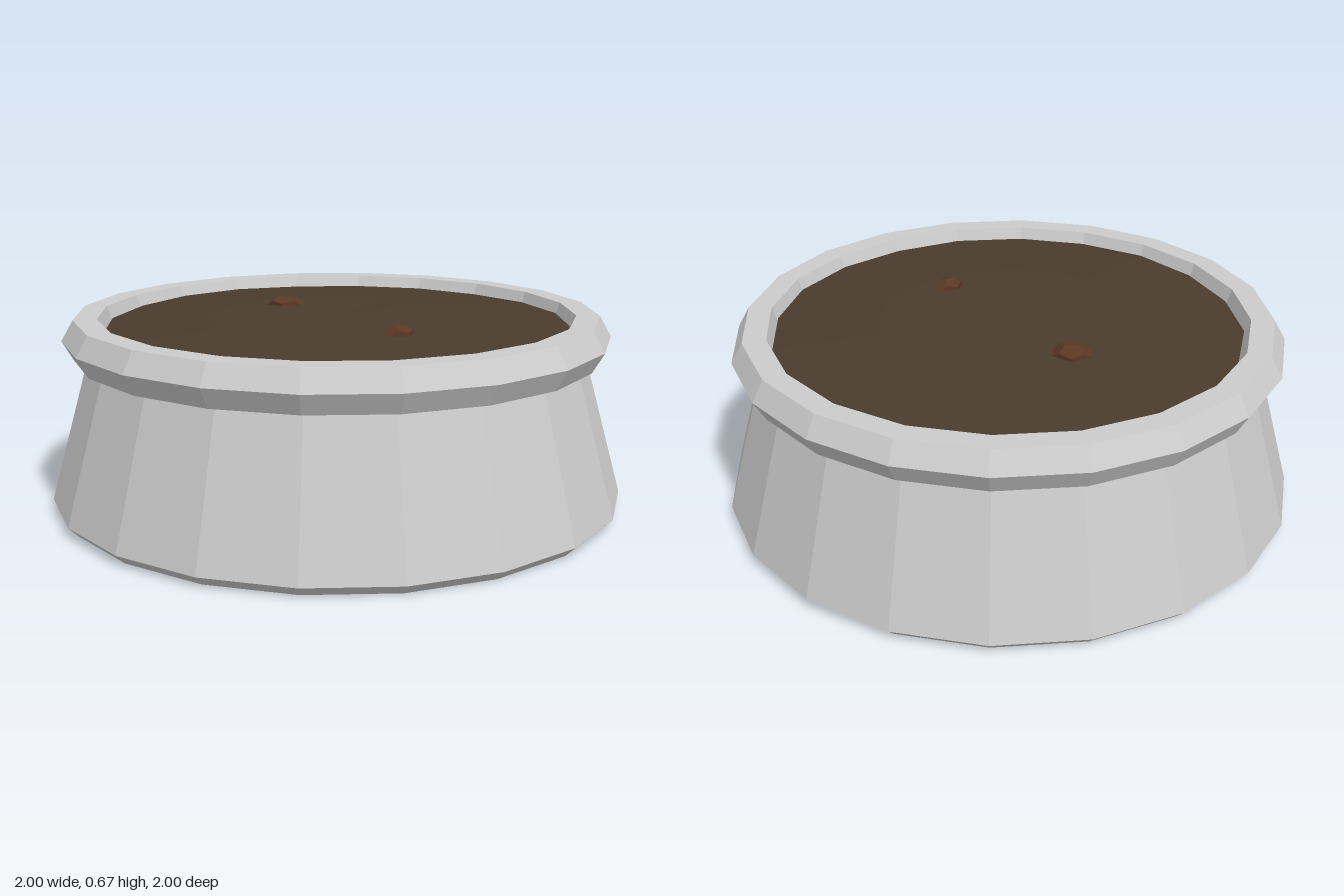
import * as THREE from 'three';

const SIDES = 20;

function material(color) {
  return new THREE.MeshStandardMaterial({ color, flatShading: true });
}

// Faceted turned part; the profile runs from the bottom, up the outside, then inwards
function turned(name, profile, mat) {
  const points = profile.map(([r, y]) => new THREE.Vector2(r, y));
  const mesh = new THREE.Mesh(new THREE.LatheGeometry(points, SIDES), mat);
  mesh.name = name;
  return mesh;
}

export function createModel() {
  const group = new THREE.Group();
  group.name = 'foodBowl';
  const grey = material(0xcccccc);

  // Flared base with a small bevel at the foot
  group.add(turned('bowlBody', [[0, 0], [0.965, 0], [1, 0.035], [0.86, 0.53]], grey));

  // Bevelled rim, inner wall and floor of the bowl
  group.add(turned('bowlRim', [
    [0.84, 0.52], [0.905, 0.52], [0.945, 0.59], [0.905, 0.66],
    [0.825, 0.66], [0.79, 0.56], [0, 0.52],
  ], grey));

  // Slightly domed filling with an uneven edge
  const food = turned('food', [[0.78, 0.565], [0.805, 0.62], [0.45, 0.638], [0, 0.642]], material(0x4a3c2e));
  const pos = food.geometry.attributes.position;
  for (let i = 0; i < pos.count; i++) {
    const x = pos.getX(i), z = pos.getZ(i);
    const a = Math.atan2(z, x);
    const k = 1 + 0.007 * Math.sin(3 * a + 1) * Math.cos(4 * a);
    pos.setXYZ(i, x * k, pos.getY(i) + 0.003 * Math.sin(5 * x + 2) * Math.sin(4 * z), z * k);
  }
  group.add(food);

  // Flattened chunks lying on the filling
  const chunkMat = material(0x5c3826);
  for (const [x, z, r, turn] of [[-0.285, -0.165, 0.07, 0.3], [0.31, 0.19, 0.054, 1.1]]) {
    const chunk = new THREE.Mesh(new THREE.DodecahedronGeometry(r), chunkMat);
    chunk.name = 'foodChunk';
    chunk.scale.y = 0.03 / r;
    chunk.rotation.y = turn;
    chunk.position.set(x, 0.638, z);
    group.add(chunk);
  }
  return group;
}
